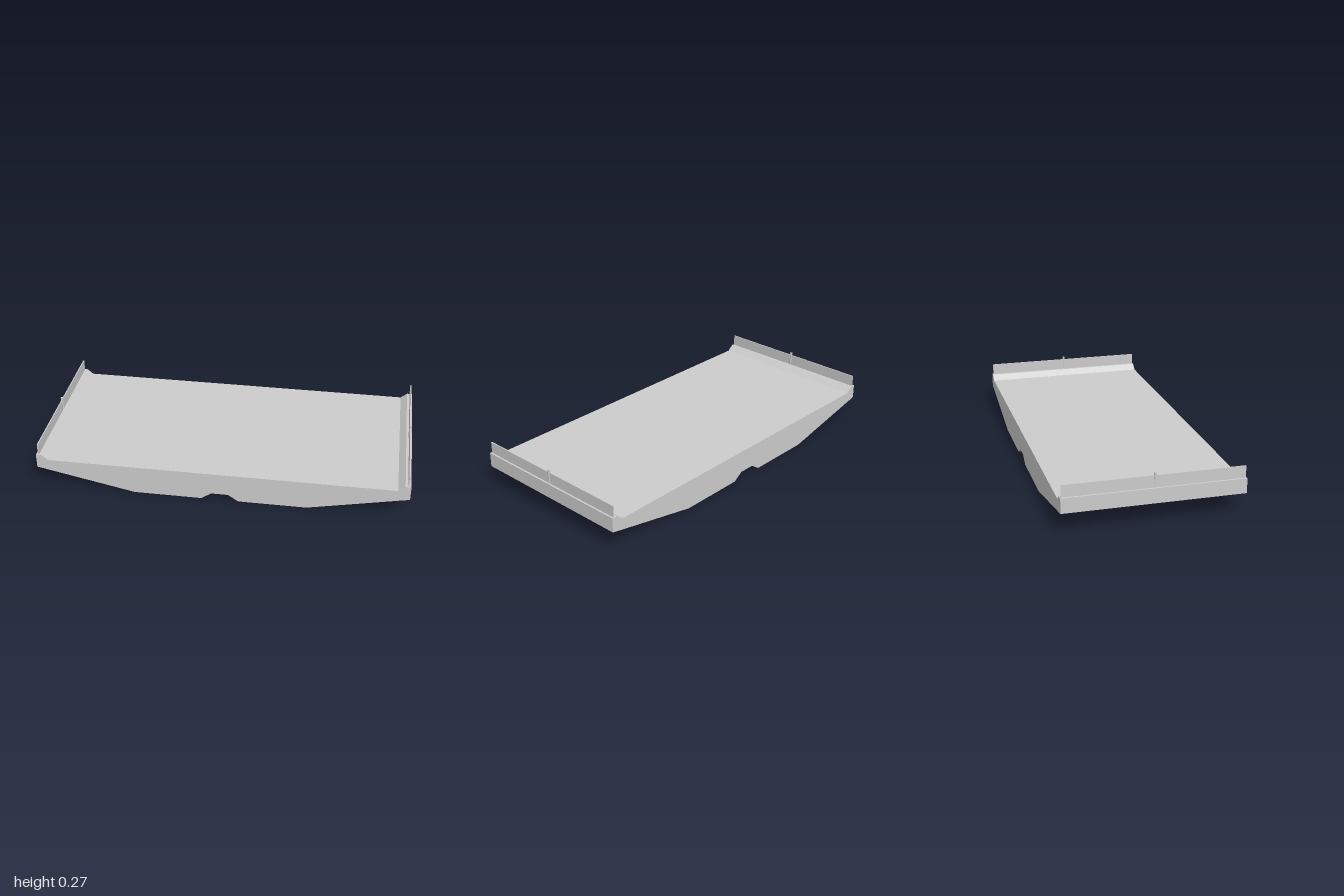
import * as THREE from 'three';

const material = new THREE.MeshStandardMaterial({ color: 0xcccccc, flatShading: true });

function addMesh(parent, name, geometry, x = 0, y = 0, z = 0) {
  const mesh = new THREE.Mesh(geometry, material);
  mesh.name = name;
  mesh.position.set(x, y, z);
  parent.add(mesh);
  return mesh;
}

export function createModel() {
  const group = new THREE.Group();
  group.name = 'bridgeDeckSection';

  // Deck: half profile from the centre of the underside to the top of the kerb, mirrored
  const length = 0.934;
  const half = [
    [0.045, 0.037], [0.1, 0], [0.465, 0], [1, 0.112],
    [1, 0.191], [0.97, 0.191], [0.935, 0.162],
  ];
  const mirrored = half.map(([x, y]) => [-x, y]).reverse();
  const profile = new THREE.Shape([...half, ...mirrored].map(([x, y]) => new THREE.Vector2(x, y)));
  const deck = new THREE.ExtrudeGeometry(profile, { depth: length, bevelEnabled: false });
  addMesh(group, 'deck', deck.translate(0, 0, -length / 2));

  // Side barriers: a thin panel with one round post at mid length
  for (const side of [1, -1]) {
    const barrier = new THREE.Group();
    barrier.name = side > 0 ? 'leftBarrier' : 'rightBarrier';
    addMesh(barrier, 'barrierPanel', new THREE.BoxGeometry(0.006, 0.064, 0.924), side * 0.987, 0.222);
    addMesh(barrier, 'barrierPost', new THREE.CylinderGeometry(0.007, 0.007, 0.079, 8), side * 0.987, 0.2295);
    group.add(barrier);
  }
  return group;
}
